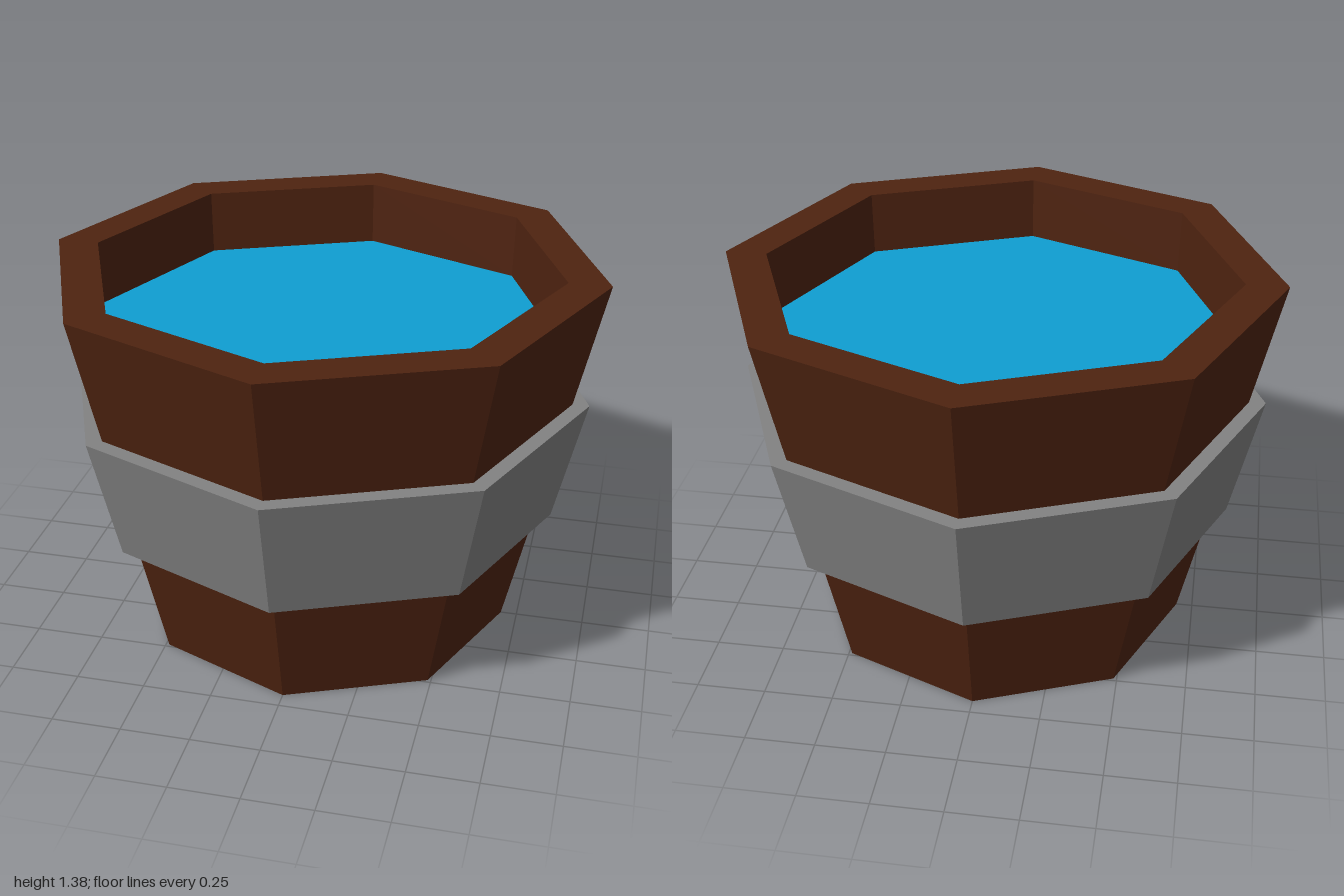
import * as THREE from 'three';

const SIDES = 8;

function material(name, color) {
  const m = new THREE.MeshStandardMaterial({ color, flatShading: true, side: THREE.DoubleSide });
  m.name = name;
  return m;
}

// Eight-sided ring swept from [radius, height] pairs
function ring(name, profile, mat) {
  const points = profile.map(([r, y]) => new THREE.Vector2(r, y));
  const mesh = new THREE.Mesh(new THREE.LatheGeometry(points, SIDES), mat);
  mesh.name = name;
  return mesh;
}

export function createModel() {
  const wood = material('dark wood', 0x4e2310);
  const metal = material('grey metal', 0x828282);
  const blue = material('water blue', 0x0f9ed2);

  const group = new THREE.Group();
  group.name = 'waterTub';

  // Flared wooden shell, open underneath
  group.add(ring('lowerStaves', [[0.69, 0], [0.794, 0.46]], wood));

  // Upper staves with a thick rim and the inner wall down to the water
  group.add(ring('upperStaves', [[0.897, 0.92], [1, 1.38], [0.85, 1.38], [0.843, 1.145]], wood));

  // Raised hoop with narrow ledges above and below
  group.add(ring('hoop', [[0.794, 0.46], [0.85, 0.46], [0.957, 0.92], [0.897, 0.92]], metal));

  // Water surface
  const water = new THREE.Mesh(new THREE.CircleGeometry(0.843, SIDES).rotateX(-Math.PI / 2), blue);
  water.name = 'water';
  water.position.y = 1.145;
  group.add(water);

  return group;
}
